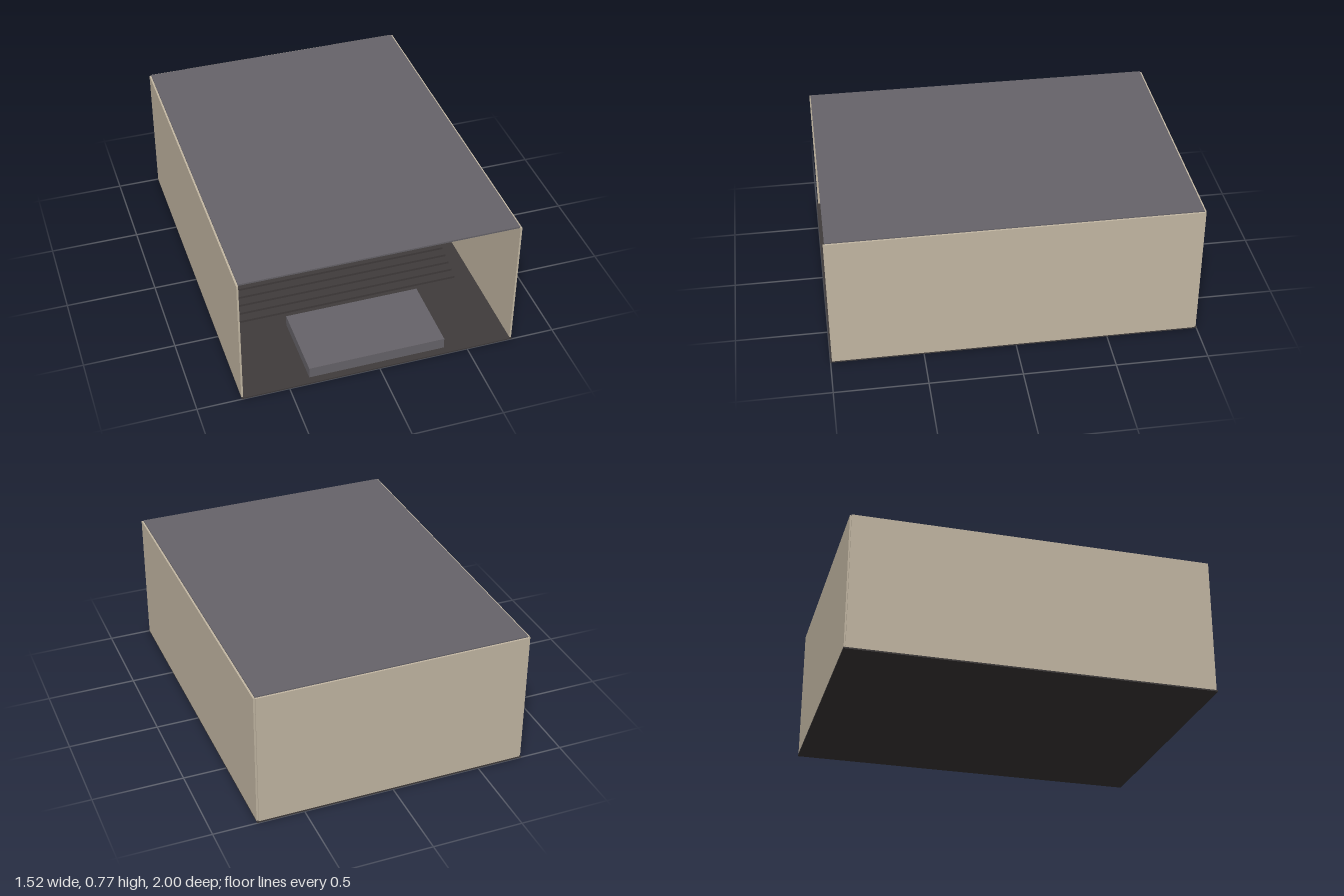
import * as THREE from 'three';

const mat = (name, color) => {
  const m = new THREE.MeshStandardMaterial({ color });
  m.name = name;
  return m;
};

export function createModel() {
  const hall = new THREE.Group();
  hall.name = 'auditorium';
  const plaster = mat('plaster', 0xc4b8a4);
  const slate = mat('slate', 0x67646a);
  const charcoal = mat('charcoal', 0x403c3c);
  const wood = mat('wood', 0x927a58);

  // Box given by its min and max on each axis
  const box = (name, material, [x0, x1], [y0, y1], [z0, z1], parent = hall) => {
    const mesh = new THREE.Mesh(new THREE.BoxGeometry(x1 - x0, y1 - y0, z1 - z0), material);
    mesh.position.set((x0 + x1) / 2, (y0 + y1) / 2, (z0 + z1) / 2);
    mesh.name = name;
    parent.add(mesh);
  };

  // Shell, open at the front
  box('floor', charcoal, [-0.76, 0.76], [0, 0.008], [-1, 1]);
  box('rightWall', plaster, [-0.76, -0.75], [0.008, 0.768], [-0.99, 0.992]);
  box('leftWall', plaster, [0.75, 0.76], [0.008, 0.768], [-0.99, 0.992]);
  box('backWall', plaster, [-0.75, 0.75], [0.008, 0.768], [-0.998, -0.988]);
  box('roof', slate, [-0.75, 0.75], [0.765, 0.774], [-0.988, 0.985]);

  // Stage platform
  box('stage', slate, [-0.38, 0.38], [0.008, 0.071], [0.53, 0.96]);

  // Raked seating, one solid block per row
  const seating = new THREE.Group();
  seating.name = 'rakedSeating';
  hall.add(seating);
  const rows = 11, depth = 0.05, rise = 0.0135;
  for (let i = 0; i < rows; i++) {
    const z = 0.44 - i * depth;
    box('seatingRow', charcoal, [-0.648, 0.648], [0.008, 0.008 + rise * (i + 1)], [z - depth, z], seating);
  }

  // Two balconies: slab, front lip and seating block
  const balconies = [[0.308, -0.3], [0.483, -0.45]];
  for (const [y, front] of balconies) {
    const balcony = new THREE.Group();
    balcony.name = 'balcony';
    hall.add(balcony);
    box('balconySlab', charcoal, [-0.672, 0.672], [y, y + 0.014], [-0.96, front], balcony);
    box('balconyLip', plaster, [-0.686, 0.686], [y + 0.004, y + 0.019], [front, front + 0.015], balcony);
    box('balconySeating', wood, [-0.672, 0.672], [y + 0.014, y + 0.061], [-0.94, front - 0.06], balcony);
  }

  return hall;
}
